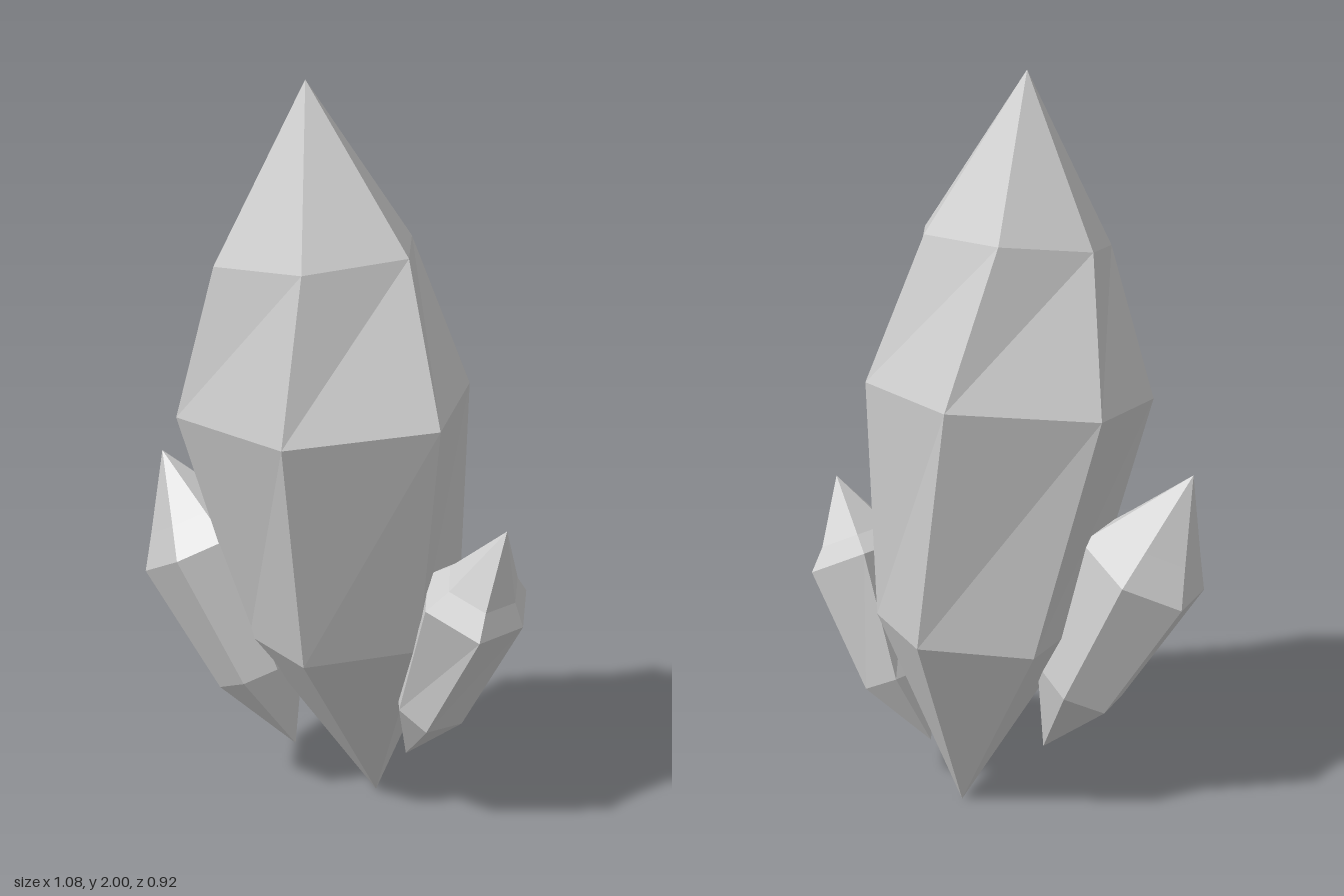
import * as THREE from 'three';

const stone = new THREE.MeshStandardMaterial({ color: 0xcccccc, flatShading: true });
stone.name = 'pale grey crystal';

// Six-sided crystal from base point to tip; each ring lies square to the axis
// at fraction t, and its corners are given as [x, z] going front, +x, back, -x.
function crystal(name, base, tip, rings) {
  const b = new THREE.Vector3(...base);
  const top = new THREE.Vector3(...tip);
  const axis = top.clone().sub(b);
  const loops = rings.map(({ t, corners }) => {
    const c = b.clone().addScaledVector(axis, t);
    return corners.map(([x, z]) =>
      new THREE.Vector3(x, c.y - ((x - c.x) * axis.x + (z - c.z) * axis.z) / axis.y, z));
  });
  const points = [];
  const last = loops[loops.length - 1];
  for (let i = 0; i < 6; i++) {
    const j = (i + 1) % 6;
    points.push(b, loops[0][j], loops[0][i]);
    for (let r = 0; r < loops.length - 1; r++) {
      const lo = loops[r], hi = loops[r + 1];
      points.push(lo[i], lo[j], hi[j], lo[i], hi[j], hi[i]);
    }
    points.push(last[i], last[j], top);
  }
  const geometry = new THREE.BufferGeometry().setFromPoints(points);
  geometry.computeVertexNormals();
  const mesh = new THREE.Mesh(geometry, stone);
  mesh.name = name;
  return mesh;
}

// Ring made by scaling corner offsets about the axis
function scaledRing(base, tip, t, k, offsets) {
  const cx = base[0] + (tip[0] - base[0]) * t;
  const cz = base[2] + (tip[2] - base[2]) * t;
  return { t, corners: offsets.map(([x, z]) => [cx + x * k, cz + z * k]) };
}

export function createModel() {
  const group = new THREE.Group();
  group.name = 'crystalCluster';

  // Tall central crystal
  group.add(crystal('mainCrystal', [0.115, 0, -0.1], [-0.05, 2, 0.085], [
    { t: 0.261, corners: [[-0.025, 0.26], [0.267, 0.17], [0.345, -0.1], [0.2, -0.38], [-0.1, -0.36], [-0.22, 0.04]] },
    { t: 0.5805, corners: [[-0.04, 0.457], [0.34, 0.355], [0.365, -0.09], [0.115, -0.46], [-0.267, -0.36], [-0.398, 0.115]] },
    { t: 0.7814, corners: [[-0.007, 0.362], [0.24, 0.23], [0.205, -0.082], [-0.004, -0.288], [-0.235, -0.16], [-0.275, 0.175]] },
  ]));

  // Small crystal leaning to +x
  const lb = [0.21, 0.145, -0.03], lt = [0.495, 0.86, 0.17];
  const leftRing = [[0.029, 0.174], [0.129, 0.024], [0.124, -0.146], [-0.03, -0.19], [-0.131, -0.024], [-0.116, 0.139]];
  group.add(crystal('leftCrystal', lb, lt, [
    { t: 0.256, corners: [[0.29, 0.16], [0.375, 0.06], [0.385, -0.075], [0.295, -0.11], [0.189, 0.004], [0.21, 0.118]] },
    scaledRing(lb, lt, 0.705, 1, leftRing),
    scaledRing(lb, lt, 0.775, 0.68, leftRing),
  ]));

  // Small crystal leaning to -x
  const rb = [-0.11, 0.145, -0.048], rt = [-0.505, 0.97, -0.12];
  const rightRing = [[-0.031, 0.192], [0.101, 0.168], [0.166, -0.037], [0.054, -0.208], [-0.101, -0.168], [-0.166, 0.037]];
  group.add(crystal('rightCrystal', rb, rt, [
    scaledRing(rb, rt, 0.255, 0.7, rightRing),
    scaledRing(rb, rt, 0.68, 1, rightRing),
    scaledRing(rb, rt, 0.78, 0.68, rightRing),
  ]));

  return group;
}
